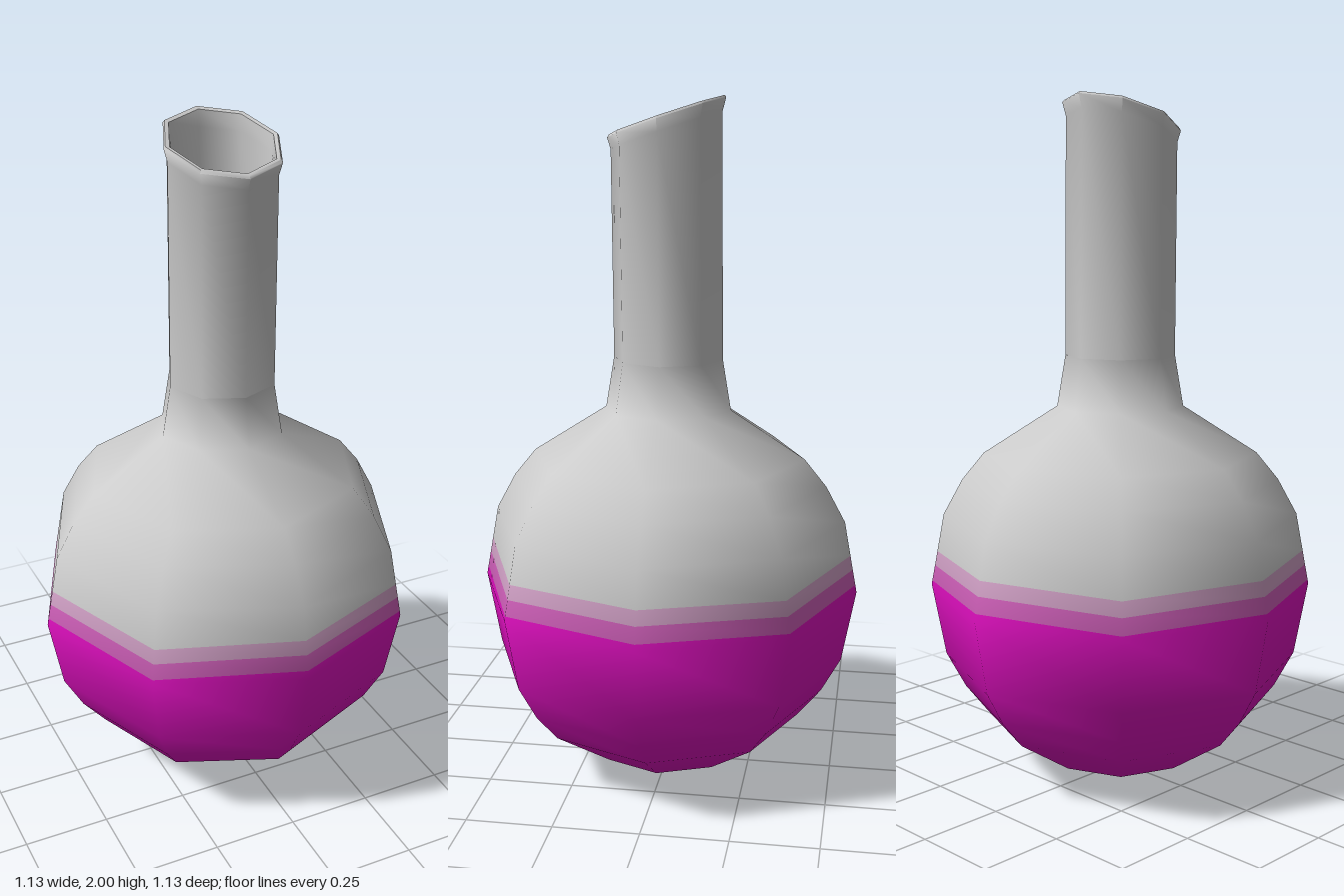
import * as THREE from 'three';
import { toCreasedNormals } from 'three/addons/utils/BufferGeometryUtils.js';

const SIDES = 8;
const CENTRE_Y = 0.57;

function material(name, color) {
  return new THREE.MeshStandardMaterial({ name, color, side: THREE.DoubleSide });
}

function lathe(points) {
  return new THREE.LatheGeometry(points.map(([r, y]) => new THREE.Vector2(r, y)), SIDES);
}

// Round bulb and shoulder, one material per horizontal band
function bulbGeometry() {
  const profile = [
    [0, 0.005], [0.22, 0.05], [0.4, 0.17], [0.468, 0.252], [0.525, 0.355], [0.565, 0.57],
    [0.562, 0.588], [0.553, 0.635], [0.545, 0.678],
    [0.525, 0.785], [0.468, 0.89], [0.403, 0.97], [0.185, 1.11], [0.16, 1.26],
  ];
  const wave = [0.008, -0.004, 0.002, -0.006, 0.005, -0.008, 0.003, -0.006];
  const geo = lathe(profile);
  const pos = geo.attributes.position, nor = geo.attributes.normal;
  const rows = profile.length, n = new THREE.Vector3();

  for (let i = 0; i <= SIDES; i++) {
    for (let j = 0; j < rows; j++) {
      const k = i * rows + j;
      // Uneven liquid line, sliding along the slope of the wall
      if (j >= 6 && j <= 8) {
        const dy = wave[i % SIDES], r = profile[j][0];
        const s = (r - 0.186 * dy) / r;
        pos.setXYZ(k, pos.getX(k) * s, pos.getY(k) + dy, pos.getZ(k) * s);
      }
      // Spherical shading on the bulb, upright where it meets the neck
      n.fromBufferAttribute(pos, k);
      if (j < 12) n.y -= CENTRE_Y;
      else if (j === 13) n.y = 0;
      else continue;
      n.normalize();
      nor.setXYZ(k, n.x, n.y, n.z);
    }
  }

  // Sort the faces into bands: liquid, dark tint, pale tint, glass
  const old = geo.index.array, index = [];
  [[0, 6], [6, 7], [7, 8], [8, rows - 1]].forEach(([from, to], m) => {
    const start = index.length;
    for (let i = 0; i < SIDES; i++) {
      for (let j = from; j < to; j++) {
        const f = (i * (rows - 1) + j) * 6;
        index.push(...old.slice(f, f + 6));
      }
    }
    geo.addGroup(start, index.length - start, m);
  });
  geo.setIndex(index);
  return geo;
}

// Hollow neck with a slanted, slightly flared lip
function neckGeometry() {
  const geo = lathe([
    [0.16, 1.26], [0.159, 1.905], [0.169, 1.94], [0.164, 1.947],
    [0.152, 1.945], [0.147, 1.9], [0.147, 1.12],
  ]);
  const pos = geo.attributes.position;
  for (let k = 0; k < pos.count; k++) {
    if (pos.getY(k) < 1.5) continue;
    pos.setY(k, pos.getY(k) - 0.33 * pos.getZ(k));
    pos.setZ(k, pos.getZ(k) + 0.006);
  }
  return toCreasedNormals(geo, 1.0);
}

export function createModel() {
  const glass = material('grey glass', 0xcccccc);
  const liquid = material('magenta liquid', 0xe010c0);
  const darkTint = material('dark pink tint', 0xd060ba);
  const paleTint = material('pale pink tint', 0xcf9fc4);

  const flask = new THREE.Group();
  flask.name = 'flask';
  const add = (name, geo, mat) => {
    const mesh = new THREE.Mesh(geo, mat);
    mesh.name = name;
    flask.add(mesh);
    return mesh;
  };

  add('bulb', bulbGeometry(), [liquid, darkTint, paleTint, glass]);
  add('neck', neckGeometry(), glass);

  // Liquid level inside the bulb
  const surface = add('liquidSurface', new THREE.CircleGeometry(0.55, SIDES), liquid);
  surface.rotation.x = -Math.PI / 2;
  surface.position.y = 0.58;

  return flask;
}
